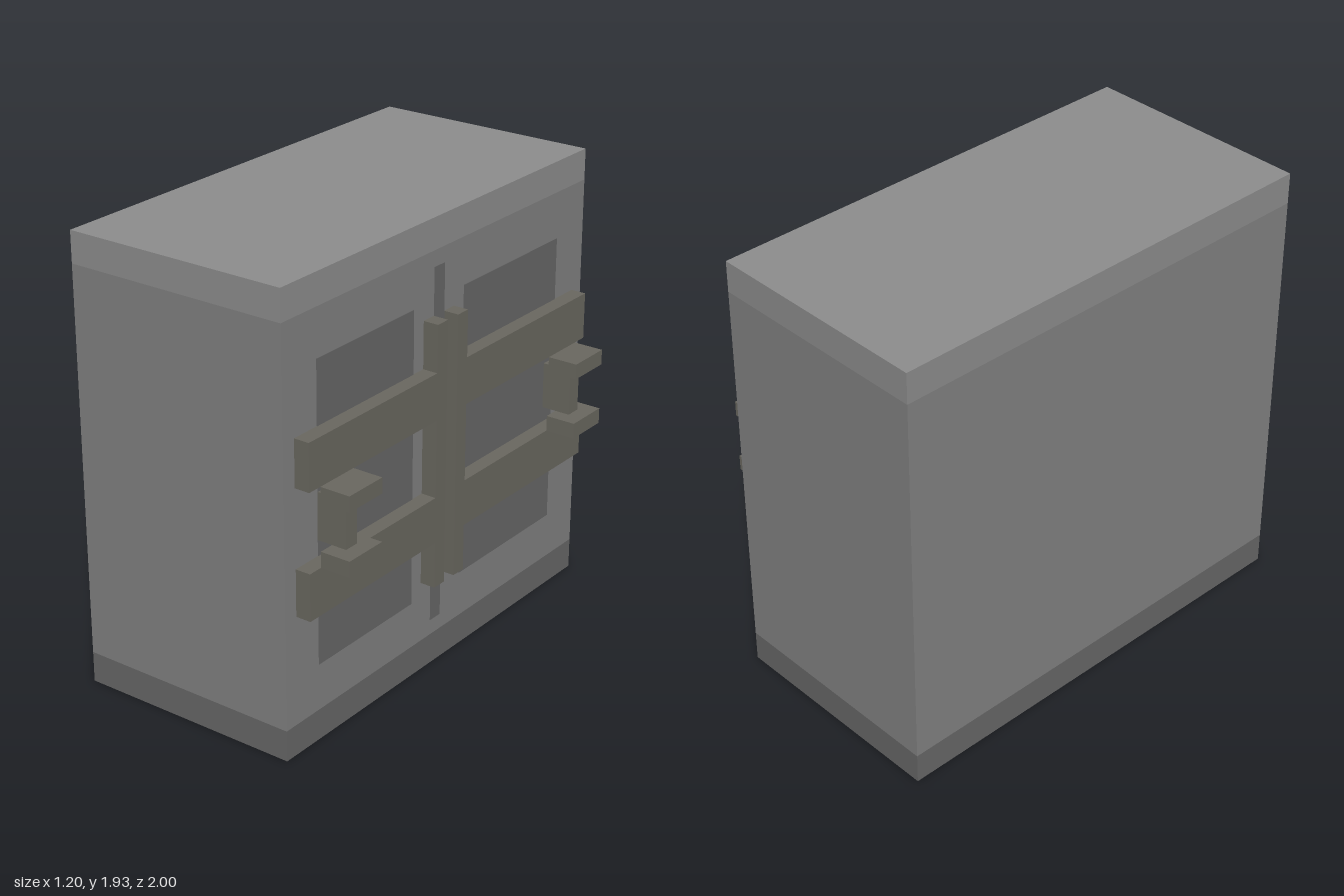
import * as THREE from 'three';

const mat = (color) => new THREE.MeshStandardMaterial({ color });

export function createModel() {
  const model = new THREE.Group();
  const bodyMat = mat(0x808080), topMat = mat(0x8c8c8c), darkMat = mat(0x666666), metalMat = mat(0x69675f);

  // Box given by its extents on each axis
  const block = (parent, name, material, [x0, x1], [y0, y1], [z0, z1]) => {
    const mesh = new THREE.Mesh(new THREE.BoxGeometry(x1 - x0, y1 - y0, z1 - z0), material);
    mesh.position.set((x0 + x1) / 2, (y0 + y1) / 2, (z0 + z1) / 2);
    mesh.name = name;
    parent.add(mesh);
  };

  // Cabinet in three stacked bands
  const depth = [-0.6, 0.4], width = [-1, 1];
  block(model, 'base', darkMat, depth, [0, 0.133], width);
  block(model, 'body', bodyMat, depth, [0.133, 1.8], width);
  block(model, 'topBand', topMat, depth, [1.8, 1.933], width);

  // Dark panels almost flush with the door face
  const skin = [0.398, 0.402];
  block(model, 'doorPanelFront', darkMat, skin, [0.333, 1.6], [0.2, 0.8]);
  block(model, 'doorPanelBack', darkMat, skin, [0.333, 1.6], [-0.8, -0.133]);
  block(model, 'doorSeam', darkMat, skin, [0.2, 1.733], [0, 0.067]);

  // Mirrored door fittings; inner is where each upright starts
  for (const [side, inner, label] of [[1, 0.067, 'Front'], [-1, 0, 'Back']]) {
    const fitting = new THREE.Group();
    fitting.name = 'doorFitting' + label;
    model.add(fitting);
    const span = (a, b) => (side > 0 ? [a, b] : [-b, -a]);
    const plate = [0.4, 0.467];
    block(fitting, 'upright', metalMat, plate, [0.4, 1.533], span(inner, inner + 0.067));
    block(fitting, 'lowerArm', metalMat, plate, [0.6, 0.8], span(inner + 0.067, 0.933));
    block(fitting, 'upperArm', metalMat, plate, [1.133, 1.333], span(inner + 0.067, 0.933));

    // Handle: post between two jutting ends
    block(fitting, 'handlePost', metalMat, [0.4, 0.533], [0.867, 1.067], span(0.733, 0.8));
    block(fitting, 'handleLowerEnd', metalMat, [0.467, 0.6], [0.8, 0.867], span(0.667, 0.867));
    block(fitting, 'handleUpperEnd', metalMat, [0.467, 0.6], [1.067, 1.133], span(0.667, 0.867));
  }
  return model;
}
